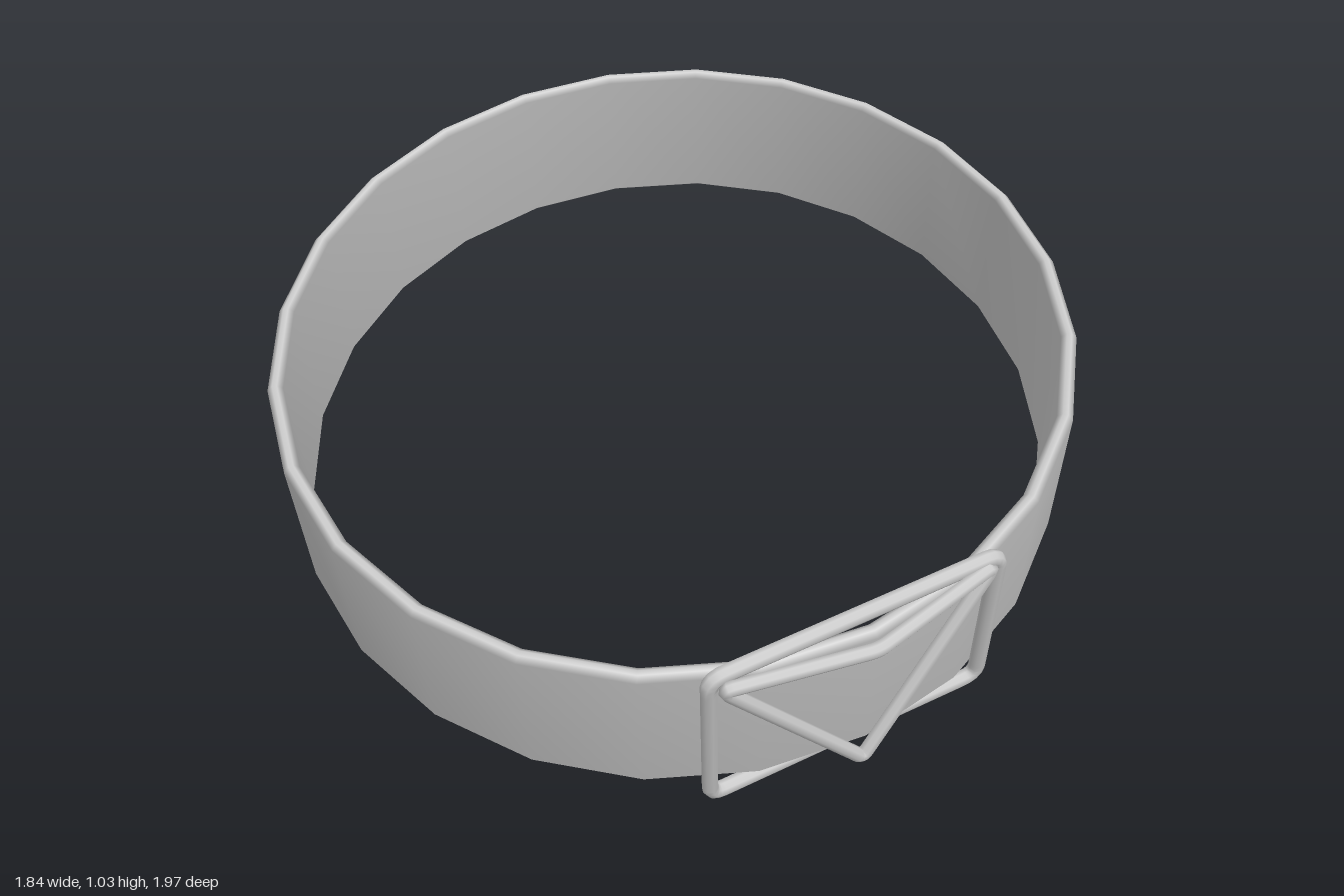
import * as THREE from 'three';

const material = new THREE.MeshStandardMaterial({ color: 0xcccccc });

function addMesh(parent, name, geometry) {
  const mesh = new THREE.Mesh(geometry, material);
  mesh.name = name;
  parent.add(mesh);
  return mesh;
}

// Closed round wire through the given corners, each corner softened by a small bend
function wireLoop(corners, bend, radius, segments) {
  const path = new THREE.CurvePath();
  const n = corners.length;
  const toward = (a, b) => a.clone().add(b.clone().sub(a).setLength(bend));
  for (let i = 0; i < n; i++) {
    const prev = corners[(i + n - 1) % n], here = corners[i], next = corners[(i + 1) % n];
    const leave = toward(here, next);
    path.add(new THREE.QuadraticBezierCurve3(toward(here, prev), here, leave));
    path.add(new THREE.LineCurve3(leave, toward(next, here)));
  }
  return new THREE.TubeGeometry(path, segments, radius, 8, true);
}

// 24-sided strap with softened rims, slightly longer front to back
function strapGeometry() {
  const outer = 0.92, inner = 0.885, half = 0.195, b = 0.012;
  const profile = [
    [(outer + inner) / 2, -half],
    [outer - b, -half], [outer, -half + b],
    [outer, half - b], [outer - b, half],
    [inner + b, half], [inner, half - b],
    [inner, -half + b], [inner + b, -half],
    [(outer + inner) / 2, -half],
  ].map(([r, y]) => new THREE.Vector2(r, y));
  return new THREE.LatheGeometry(profile, 24).scale(1, 1, 1.046);
}

export function createModel() {
  const model = new THREE.Group();
  model.name = 'belt';

  // Whole belt tips forward, so the front hangs lower than the back
  const belt = new THREE.Group();
  belt.name = 'tiltedBelt';
  belt.position.set(0, 0.5515, -0.022);
  belt.rotation.x = THREE.MathUtils.degToRad(19);
  model.add(belt);

  addMesh(belt, 'strap', strapGeometry());

  // Flat rectangular buckle frame, turned to follow the strap
  const w = 0.326, h = 0.218;
  const frameCorners = [[-w, -h], [w, -h], [w, h], [-w, h]].map(([x, y]) => new THREE.Vector3(x, y, 0));
  const frame = addMesh(belt, 'buckleFrame', wireLoop(frameCorners, 0.035, 0.018, 160));
  frame.position.set(0.42, -0.004, 0.803);
  frame.rotation.y = THREE.MathUtils.degToRad(30);

  // Triangular buckle wire, bent at the middle to pass around the strap
  const wireCorners = [
    [0.165, 0.204, 0.981],
    [0.453, -0.207, 0.87],
    [0.69, 0.204, 0.663],
    [0.46, 0.204, 0.873],
  ].map((p) => new THREE.Vector3(...p));
  addMesh(belt, 'buckleWire', wireLoop(wireCorners, 0.02, 0.016, 200));

  return model;
}
